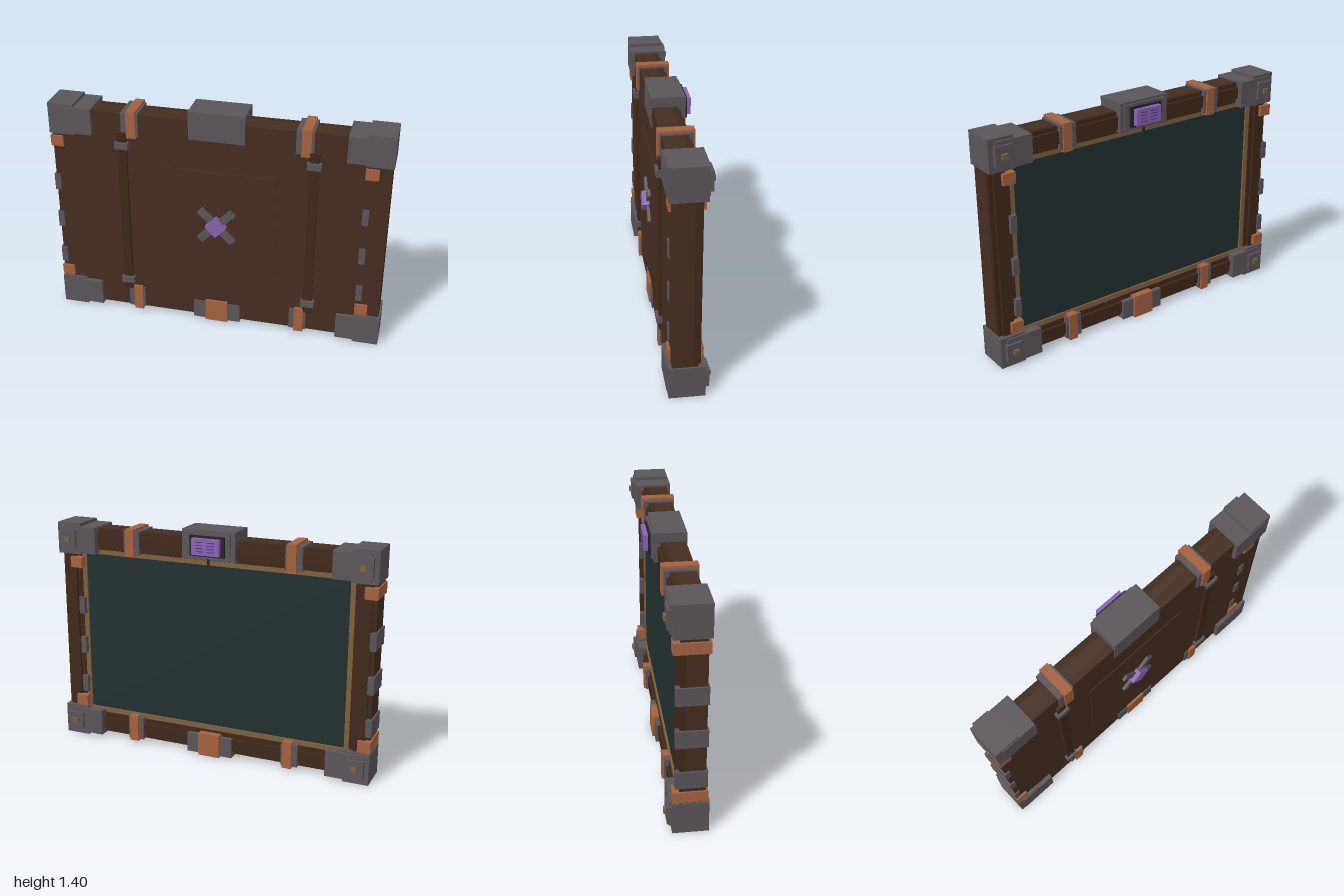
import * as THREE from 'three';

const mat = (name, hex) => {
  const m = new THREE.MeshStandardMaterial({ color: hex });
  m.name = name;
  return m;
};

export function createModel() {
  const model = new THREE.Group();
  model.name = 'wallScreen';
  const wood = mat('wood', 0x442d21);
  const rail = mat('railWood', 0x3f2819);
  const iron = mat('iron', 0x5a5559);
  const copper = mat('copper', 0xa4613f);
  const brass = mat('brass', 0x7d6140);
  const slate = mat('slate', 0x223030);
  const dark = mat('darkMetal', 0x242428);
  const crystal = mat('crystal', 0x8a63b2);
  const glyph = mat('glyphPurple', 0x54387a);

  // Box given by its min and max on each axis
  const box = (name, m, x0, x1, y0, y1, z0, z1) => {
    const mesh = new THREE.Mesh(new THREE.BoxGeometry(x1 - x0, y1 - y0, z1 - z0), m);
    mesh.position.set((x0 + x1) / 2, (y0 + y1) / 2, (z0 + z1) / 2);
    mesh.name = name;
    model.add(mesh);
    return mesh;
  };

  // Rectangular ring, open in the middle
  const MID = 0.6875;
  const ring = (name, m, ox, oy, ix, iy, z0, z1) => {
    const rect = (P, a, b) => new P([
      new THREE.Vector2(-a, -b), new THREE.Vector2(a, -b),
      new THREE.Vector2(a, b), new THREE.Vector2(-a, b)]);
    const s = rect(THREE.Shape, ox, oy);
    s.holes.push(rect(THREE.Path, ix, iy));
    const mesh = new THREE.Mesh(
      new THREE.ExtrudeGeometry(s, { depth: z1 - z0, bevelEnabled: false }), m);
    mesh.position.set(0, MID, z0);
    mesh.name = name;
    model.add(mesh);
  };

  // Wooden body, frame rails, trim and screen
  box('backBoard', wood, -0.99, 0.99, 0.03, 1.345, -0.02, 0.093);
  ring('frameRails', rail, 0.99, 0.6575, 0.865, 0.53, -0.05, -0.02);
  ring('frameMoulding', rail, 0.965, 0.632, 0.895, 0.56, -0.066, -0.05);
  ring('screenTrim', brass, 0.865, 0.53, 0.835, 0.5, -0.045, -0.02);
  box('screen', slate, -0.835, 0.835, MID - 0.5, MID + 0.5, -0.035, -0.02);

  // Raised panel with crossed bars and a crystal
  box('frontPanel', wood, -0.355, 0.355, 0.34, 1.035, 0.09, 0.099);
  for (const a of [1, -1]) {
    const bar = box('crossBar', iron, -0.14, 0.14, MID - 0.0225, MID + 0.0225, 0.095, a > 0 ? 0.117 : 0.116);
    bar.rotation.z = a * Math.PI / 4;
  }
  const gem = box('frontCrystal', crystal, -0.0445, 0.0445, MID - 0.0445, MID + 0.0445, 0.1, 0.141);
  gem.rotation.z = Math.PI / 4;

  // Vertical battens with clips
  for (const s of [-1, 1]) {
    const c = s * 0.562;
    box('batten', rail, c - 0.027, c + 0.027, 0.16, 1.23, 0.09, 0.111);
    for (const y of [0.23, 1.15])
      box('battenClip', iron, c - 0.04, c + 0.04, y - 0.02, y + 0.02, 0.09, 0.126);
  }
  box('battenInlay', slate, -0.589, -0.535, 0.702, 0.718, 0.1, 0.113);
  box('battenSideInlay', slate, 0.58, 0.59, 0.705, 0.745, 0.094, 0.11);

  // Corner armour with a riveted plate on the screen side
  for (const s of [-1, 1]) {
    for (const top of [false, true]) {
      const b = (name, m, x0, x1, y0, y1, z0, z1) => box(name, m,
        s > 0 ? x0 : -x1, s > 0 ? x1 : -x0,
        top ? 1.375 - y1 : y0, top ? 1.375 - y0 : y1, z0, z1);
      b('cornerBlock', iron, 0.845, 1, 0, 0.19, -0.088, 0.112);
      b('cornerSleeve', iron, 0.74, 0.96, 0.018, 0.178, -0.098, 0.118);
      b('cornerPlate', iron, 0.868, 0.972, 0.04, 0.15, -0.113, -0.08);
      b('cornerRivet', brass, 0.902, 0.936, 0.083, 0.113, -0.127, -0.11);
    }
  }

  // Bands around the top and bottom rails
  for (const [g, c] of [[-0.513, -0.502], [0.504, 0.513]]) {
    for (const [y0, y1] of [[0.015, 0.18], [1.2, 1.365]]) {
      box('bandPad', iron, g - 0.051, g + 0.051, y0 + 0.012, y1 - 0.012, -0.077, 0.101);
      box('band', copper, c - 0.028, c + 0.028, y0, y1, -0.088, 0.111);
    }
  }

  // Clips along the side rails
  for (const [x, w] of [[-1, 1], [0.845, 1]]) {
    for (const y of [0.233, 1.133])
      box('copperClip', copper, x, x + 0.076 * w, y - 0.033, y + 0.033, -0.088, 0.106);
    for (const y of [0.344, 0.6, 0.857])
      box('sideClip', iron, x, x + 0.037 * w, y - 0.052, y + 0.052, -0.074, 0.101);
  }

  // Bottom clasp
  box('claspPad', iron, -0.145, 0.145, 0.01, 0.13, -0.08, 0.1);
  box('clasp', copper, -0.069, 0.067, 0.002, 0.145, -0.093, 0.108);

  // Top block with a glowing display
  box('topBlock', iron, -0.165, 0.165, 1.228, 1.4, -0.088, 0.099);
  box('displayBase', iron, -0.14, 0.14, 1.238, 1.387, -0.098, -0.08);
  box('displayFrame', dark, -0.108, 0.108, 1.252, 1.372, -0.11, -0.09);
  box('display', crystal, -0.085, 0.085, 1.264, 1.36, -0.135, -0.1);
  for (const s of [-1, 1])
    for (let i = 0; i < 4; i++)
      box('displayMark', glyph, s * 0.035 - 0.022, s * 0.035 + 0.022,
        1.283 + i * 0.018, 1.288 + i * 0.018, -0.138, -0.13);
  box('displayPin', dark, -0.006, 0.006, 1.2, 1.24, -0.092, -0.08);

  return model;
}
